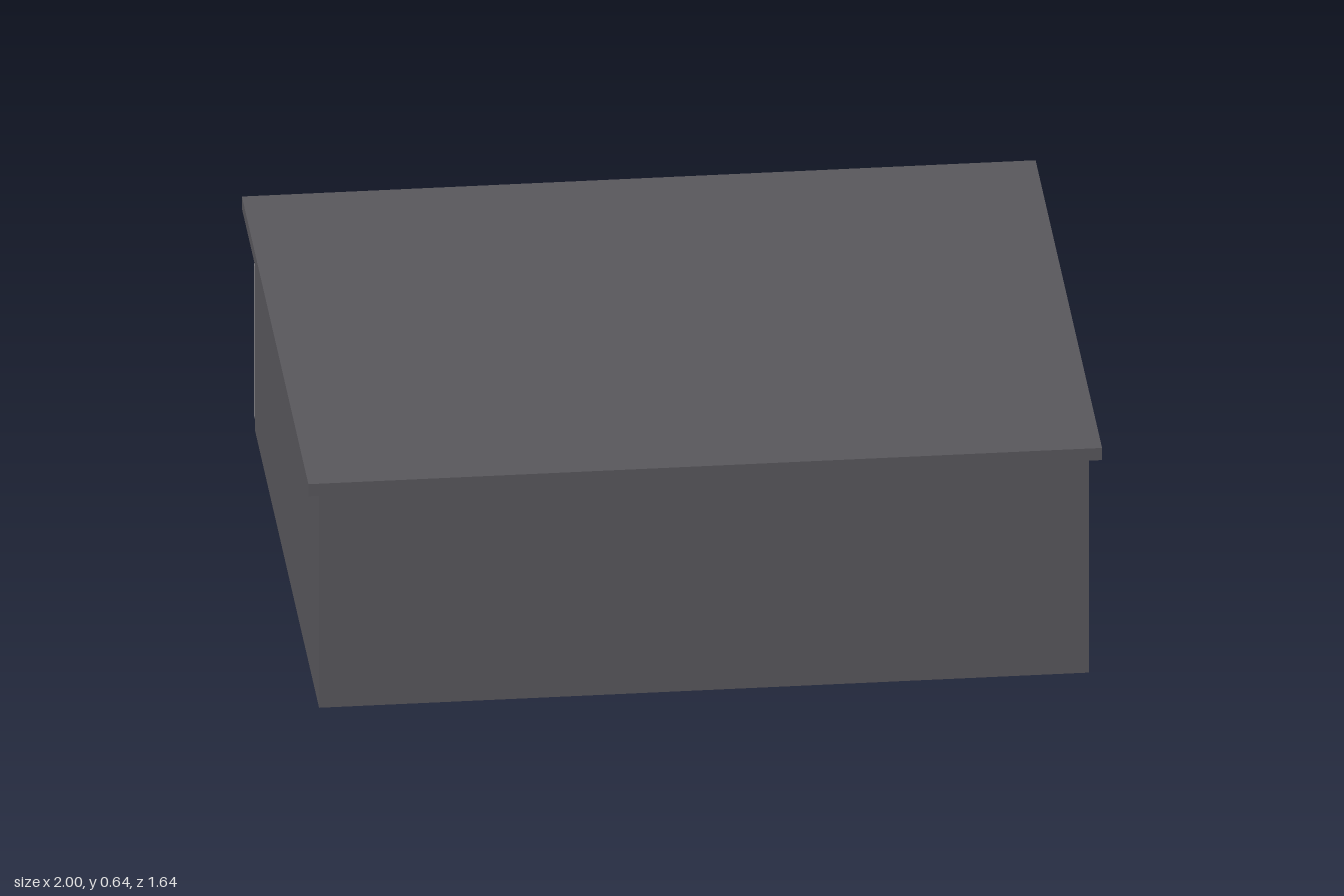
import * as THREE from 'three';

export function createModel() {
  const model = new THREE.Group();
  model.name = 'desktopEnclosure';

  const material = (name, color) => {
    const m = new THREE.MeshStandardMaterial({ color });
    m.name = name;
    return m;
  };
  const casing = material('casing grey', 0x58575c);
  const panel = material('panel grey', 0x828186);
  const green = material('terminal green', 0x8acb8b);

  // Box given by its minimum and maximum corners
  function block(name, mat, [x0, x1], [y0, y1], [z0, z1], parent = model) {
    const mesh = new THREE.Mesh(new THREE.BoxGeometry(x1 - x0, y1 - y0, z1 - z0), mat);
    mesh.position.set((x0 + x1) / 2, (y0 + y1) / 2, (z0 + z1) / 2);
    mesh.name = name;
    parent.add(mesh);
    return mesh;
  }

  // Casing with an overhanging lid
  block('body', casing, [-0.97, 0.97], [0, 0.61], [-0.78, 0.79]);
  block('lid', casing, [-1, 1], [0.608, 0.642], [-0.81, 0.82]);

  // Raised panel on the back
  const back = -0.806;
  block('rearPanel', panel, [-0.97, 0.97], [0.03, 0.457], [back, -0.78]);

  // Connectors on the rear panel
  const ports = new THREE.Group();
  ports.name = 'rearPorts';
  model.add(ports);
  const port = (name, x, y, depth = 0.008, mat = casing) =>
    block(name, mat, x, y, [back - depth, back], ports);

  for (const [name, s] of [['left', 1], ['right', -1]]) {
    const span = (a, b) => (s > 0 ? [a, b] : [-b, -a]);
    port(name + 'SquarePort', span(0.575, 0.76), [0.19, 0.305]);
    port(name + 'BarFoot', span(0.215, 0.4), [0.19, 0.275]);
  }

  // Long bar connector, seen with the two feet as one stepped piece
  port('longConnector', [-0.455, 0.455], [0.268, 0.34], 0.015);

  // Small sockets
  port('leftSmallSocket', [0.755, 0.815], [0.08, 0.12]);
  port('innerSmallSocket', [-0.22, -0.145], [0.13, 0.18]);
  port('outerSmallSocket', [-0.4, -0.33], [0.13, 0.185]);

  // Low socket that hangs below the panel edge
  block('bottomSocket', casing, [-0.06, 0.06], [0.018, 0.06], [back - 0.008, -0.79], ports);

  // Green terminal block with a small latch on its top edge
  port('greenTerminal', [-0.89, -0.695], [0.03, 0.208], 0.01, green);
  port('terminalLatch', [-0.765, -0.73], [0.195, 0.212], 0.011);

  return model;
}
